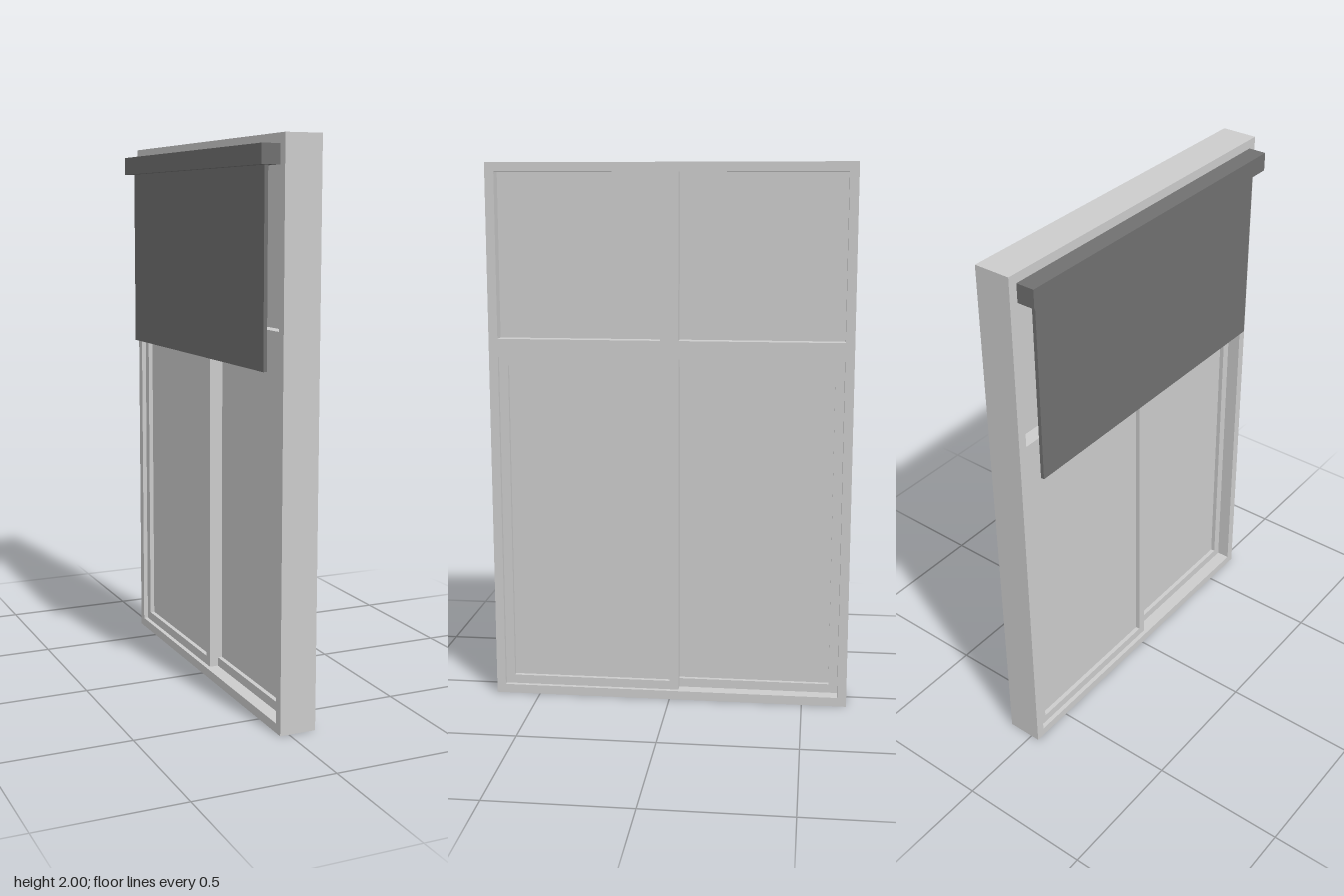
import * as THREE from 'three';

const grey = new THREE.MeshStandardMaterial({ color: 0xcccccc });
const dark = new THREE.MeshStandardMaterial({ color: 0x707070 });

const U = 1 / 30; // width of a frame bar
const MID = U; // x of the frame's middle plane

// Rectangle given as [z0, z1, y0, y1], drawn in a plane that later faces +x
function rect(PathType, [z0, z1, y0, y1]) {
  return new PathType([[-z1, y0], [-z0, y0], [-z0, y1], [-z1, y1]].map(([x, y]) => new THREE.Vector2(x, y)));
}

// Flat frame with rectangular openings, centred on x
function frame(name, outer, holes, x, depth) {
  const shape = rect(THREE.Shape, outer);
  shape.holes = holes.map((h) => rect(THREE.Path, h));
  const geo = new THREE.ExtrudeGeometry(shape, { depth, bevelEnabled: false });
  geo.translate(0, 0, -depth / 2).rotateY(Math.PI / 2).translate(x, 0, 0);
  const mesh = new THREE.Mesh(geo, grey);
  mesh.name = name;
  return mesh;
}

// Solid slab over the same kind of rectangle
function slab(name, [z0, z1, y0, y1], x, depth, material = grey) {
  const mesh = new THREE.Mesh(new THREE.BoxGeometry(depth, y1 - y0, z1 - z0), material);
  mesh.position.set(x, (y0 + y1) / 2, (z0 + z1) / 2);
  mesh.name = name;
  return mesh;
}

export function createModel() {
  const model = new THREE.Group();
  model.name = 'window';

  // Outer frame: two top lights over one wide opening
  const topLights = [[U, 19 * U, 41 * U, 59 * U], [-19 * U, -U, 41 * U, 59 * U]];
  const lower = [-19 * U, 19 * U, U, 39 * U];
  model.add(frame('outerFrame', [-20 * U, 20 * U, 0, 2], [...topLights, lower], MID, 4 * U));
  topLights.forEach((r) => model.add(slab('fixedPane', r, MID, U)));

  // Two sliding sashes, staggered in depth and lapping at the middle
  for (const side of [1, -1]) {
    const span = (a, b) => [Math.min(side * a, side * b), Math.max(side * a, side * b)];
    const x = MID + side * U / 2;
    const opening = [...span(0, 18 * U), 2 * U, 38 * U];
    const sash = new THREE.Group();
    sash.name = side > 0 ? 'outerSash' : 'innerSash';
    sash.add(frame('sashFrame', [...span(-U, 19 * U), U, 39 * U], [opening], x, 2 * U));
    sash.add(slab('sashPane', opening, x, U));
    model.add(sash);
  }

  // Roller blind on the inner side
  const blind = new THREE.Group();
  blind.name = 'blind';
  blind.add(slab('headRail', [-19 * U, 19 * U, 57 * U, 59 * U], -2 * U, 2 * U, dark));
  blind.add(slab('blindSheet', [-18 * U, 18 * U, 37 * U, 57 * U], -2 * U, 0.013, dark));
  model.add(blind);

  return model;
}
